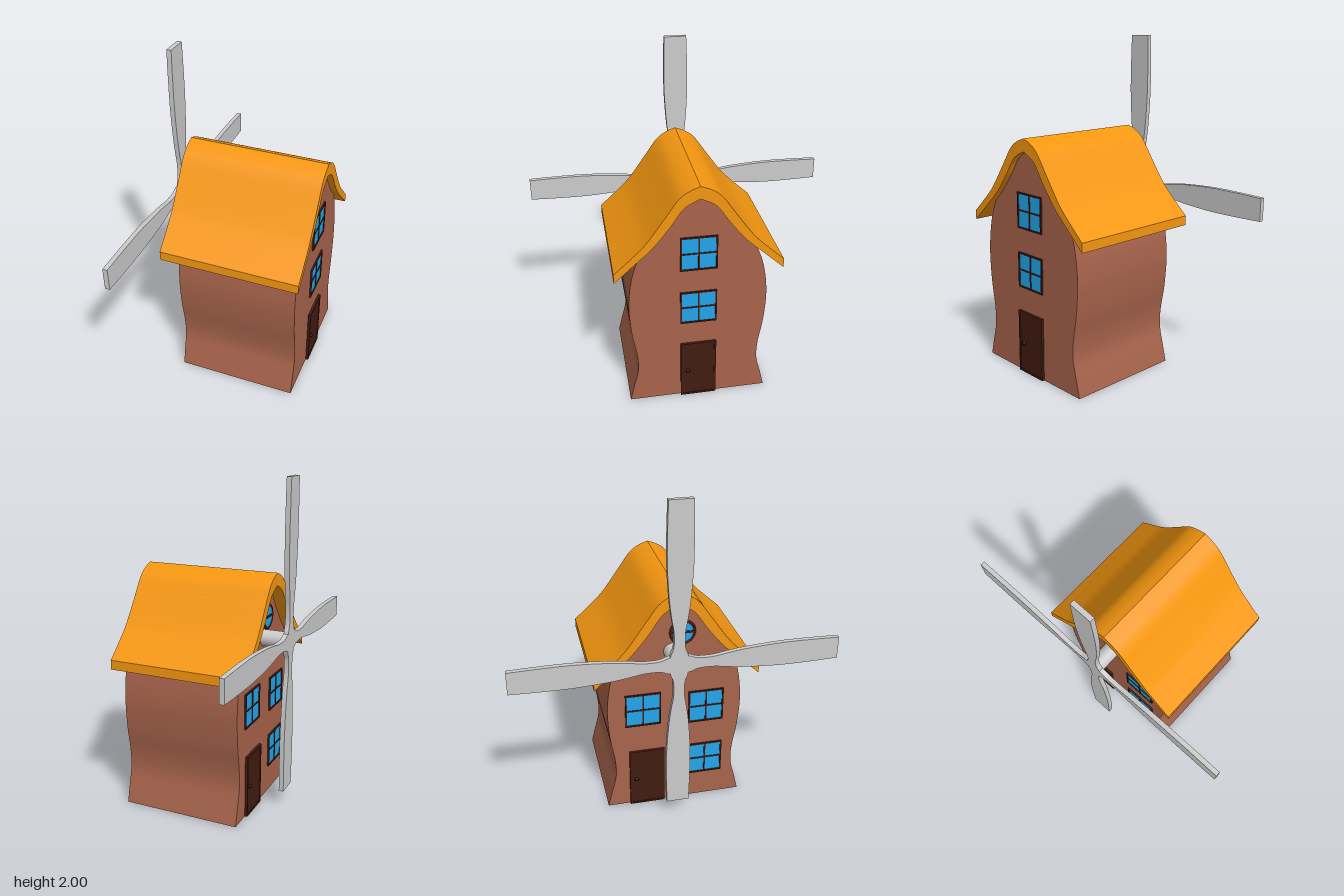
import * as THREE from 'three';
import { toCreasedNormals } from 'three/addons/utils/BufferGeometryUtils.js';

const paint = (color) => new THREE.MeshStandardMaterial({ color });
const brick = paint(0xa8644c), thatch = paint(0xf59710), wood = paint(0x421b10);
const glass = paint(0x22a6eb), dark = paint(0x1c0c08), grey = paint(0xcccccc);
const MID = 0.0185; // z of the ridge
const WALL = { 1: 0.43, '-1': -0.303 }; // x of the two gable walls

function add(parent, name, geometry, material, x = 0, y = 0, z = 0) {
  const mesh = new THREE.Mesh(geometry, material);
  mesh.name = name;
  mesh.position.set(x, y, z);
  parent.add(mesh);
  return mesh;
}

const smooth = (pts, n) =>
  new THREE.SplineCurve(pts.map(([w, y]) => new THREE.Vector2(w, y))).getPoints(n);
const mirror = (pts) => pts.map((p) => new THREE.Vector2(-p.x, p.y)).reverse();

// Extrudes an outline drawn in (-z, y) along x
function extrudeX(points, x0, x1, crease = 0.6) {
  const g = new THREE.ExtrudeGeometry(new THREE.Shape(points), { depth: x1 - x0, bevelEnabled: false });
  g.rotateY(Math.PI / 2);
  g.translate(x0, 0, 0);
  return toCreasedNormals(g, crease);
}

// Rectangular border, lying in the y-z plane
function border(parent, name, w, h, bar, depth, x, material) {
  for (const s of [-1, 1]) {
    add(parent, name, new THREE.BoxGeometry(depth, h, bar), material, x, 0, s * (w - bar) / 2);
    add(parent, name, new THREE.BoxGeometry(depth, bar, w), material, x, s * (h - bar) / 2, 0);
  }
}

function squareWindow(parent, side, y, z) {
  const g = new THREE.Group();
  g.name = 'window';
  g.position.set(WALL[side], y, z);
  const size = 0.216;
  add(g, 'windowPane', new THREE.BoxGeometry(0.008, size - 0.01, size - 0.01), glass);
  border(g, 'windowFrame', size, size, 0.009, 0.02, 0, wood);
  add(g, 'windowBar', new THREE.BoxGeometry(0.016, size, 0.009), wood);
  add(g, 'windowBar', new THREE.BoxGeometry(0.016, 0.009, size), wood);
  parent.add(g);
}

function door(parent, side, z, knobZ) {
  const g = new THREE.Group();
  g.name = 'door';
  g.position.set(WALL[side], 0.195, z);
  add(g, 'doorPanel', new THREE.BoxGeometry(0.024, 0.38, 0.206), wood);
  border(g, 'doorFrame', 0.216, 0.39, 0.012, 0.032, 0, wood);
  add(g, 'doorKnob', new THREE.SphereGeometry(0.013, 16, 12), dark, side * 0.012, -0.01, knobZ);
  parent.add(g);
}

export function createModel() {
  const model = new THREE.Group();
  model.name = 'windmill';

  // Bulging house body with gable ends
  const half = smooth([[0.42, 0], [0.393, 0.11], [0.367, 0.22], [0.37, 0.34], [0.396, 0.5], [0.407, 0.7],
    [0.382, 0.89], [0.33, 1.03], [0.27, 1.11], [0.17, 1.235], [0.09, 1.345], [0, 1.395]], 44);
  const body = [...half, ...mirror(half).slice(1)];
  add(model, 'houseBody', extrudeX(body, WALL[-1], WALL[1]), brick, 0, 0, MID);

  // Wavy roof of even thickness
  const outer = smooth([[0.488, 0.945], [0.4, 1.025], [0.305, 1.12], [0.2, 1.265],
    [0.12, 1.378], [0.06, 1.423], [0, 1.447]], 28);
  const inner = smooth([[0.488, 0.888], [0.365, 1.0], [0.265, 1.093], [0.17, 1.21],
    [0.09, 1.322], [0, 1.372]], 28);
  const roof = [...outer, ...mirror(outer).slice(1), ...mirror(inner).reverse(), ...inner.slice(0, -1).reverse()];
  add(model, 'roof', extrudeX(roof, -0.375, 0.47), thatch, 0, 0, MID);

  // Openings on the two gables
  door(model, 1, MID, 0.066);
  squareWindow(model, 1, 0.648, MID);
  squareWindow(model, 1, 1.012, MID);
  door(model, -1, -0.155, -0.068);
  squareWindow(model, -1, 0.68, -0.175);
  squareWindow(model, -1, 0.66, 0.21);
  squareWindow(model, -1, 0.28, 0.21);

  // Round attic window
  const attic = new THREE.Group();
  attic.name = 'roundWindow';
  attic.position.set(WALL[-1], 1.17, 0.06);
  add(attic, 'roundPane', new THREE.CylinderGeometry(0.07, 0.07, 0.01, 32).rotateZ(Math.PI / 2), glass);
  add(attic, 'roundFrame', new THREE.TorusGeometry(0.07, 0.009, 8, 32).rotateY(Math.PI / 2), wood);
  add(attic, 'roundBar', new THREE.BoxGeometry(0.018, 0.014, 0.14), wood);
  model.add(attic);

  // Sails: four paddles on an axle
  const sails = new THREE.Group();
  sails.name = 'sails';
  sails.position.set(0, 1.055, 0);
  const edge = smooth([[0.055, 0], [0.05, 0.06], [0.033, 0.11], [0.032, 0.2], [0.045, 0.28],
    [0.06, 0.4], [0.072, 0.6], [0.071, 0.8], [0.067, 0.945]], 28);
  const blade = extrudeX([...edge, ...mirror(edge)], -0.475, -0.446);
  for (let i = 0; i < 4; i++) add(sails, 'sail', blade, grey).rotation.x = (i * Math.PI) / 2;
  add(sails, 'axle', new THREE.CylinderGeometry(0.05, 0.05, 0.17, 32).rotateZ(Math.PI / 2), grey, -0.37, 0, -0.002);
  model.add(sails);

  return model;
}
